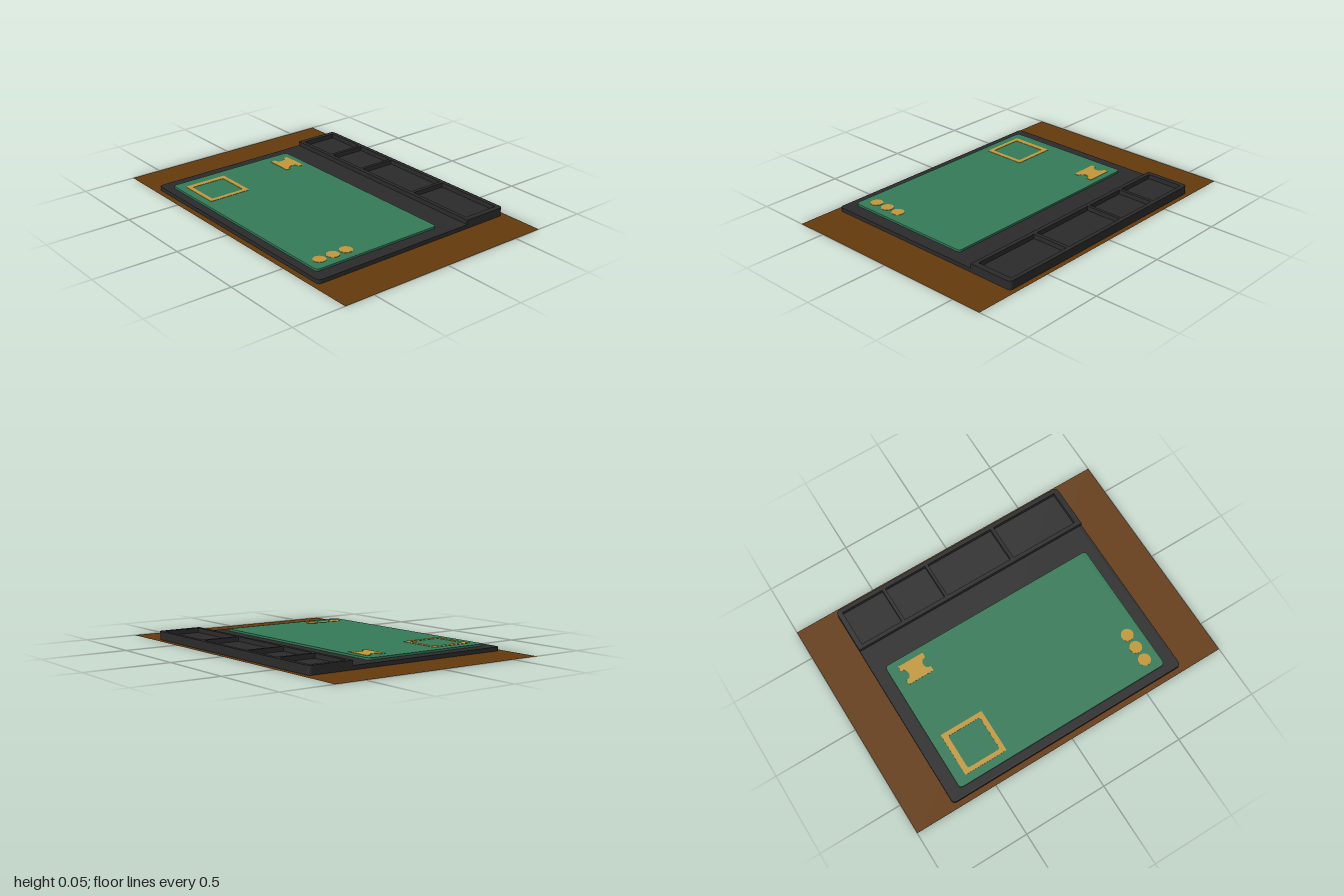
import * as THREE from 'three';

const BASE_TOP = 0.025, TRAY_TOP = 0.052, BOARD_TOP = 0.037;

// Rectangle outline in plan; f and b are the front and back corner radii
function outline(x0, x1, z0, z1, f = 0, b = f, Type = THREE.Shape) {
  const s = new Type();
  const y0 = -z1, y1 = -z0; // plan y is -z
  s.moveTo(x0 + f, y0);
  s.lineTo(x1 - f, y0);
  if (f) s.quadraticCurveTo(x1, y0, x1, y0 + f);
  s.lineTo(x1, y1 - b);
  if (b) s.quadraticCurveTo(x1, y1, x1 - b, y1);
  s.lineTo(x0 + b, y1);
  if (b) s.quadraticCurveTo(x0, y1, x0, y1 - b);
  s.lineTo(x0, y0 + f);
  if (f) s.quadraticCurveTo(x0, y0, x0 + f, y0);
  return s;
}

// Plan shape raised from y0 to y1
function slab(name, shape, y0, y1, material) {
  const geo = new THREE.ExtrudeGeometry(shape, { depth: y1 - y0, bevelEnabled: false, curveSegments: 10 });
  geo.rotateX(-Math.PI / 2);
  geo.translate(0, y0, 0);
  const mesh = new THREE.Mesh(geo, material);
  mesh.name = name;
  return mesh;
}

export function createModel() {
  const brown = new THREE.MeshStandardMaterial({ name: 'woodBrown', color: 0x653a0d, side: THREE.DoubleSide });
  const black = new THREE.MeshStandardMaterial({ name: 'matBlack', color: 0x2b2b2b });
  const green = new THREE.MeshStandardMaterial({ name: 'boardGreen', color: 0x357a58 });
  const gold = new THREE.MeshStandardMaterial({ name: 'gold', color: 0xc2983a });
  const model = new THREE.Group();
  model.name = 'workMat';

  // Table surface
  const table = new THREE.Mesh(new THREE.PlaneGeometry(2, 1.365).rotateX(-Math.PI / 2), brown);
  table.name = 'tableTop';
  model.add(table);

  // Mat base with the raised parts tray at the back
  model.add(slab('matBase', outline(-0.752, 0.752, -0.655, 0.65, 0.025), 0.002, BASE_TOP, black));
  const tray = outline(-0.752, 0.752, -0.655, -0.38, 0, 0.025);
  for (const [x0, x1] of [[-0.722, -0.46], [-0.44, -0.173], [-0.155, 0.273], [0.295, 0.718]]) {
    tray.holes.push(outline(x0, x1, -0.63, -0.405, 0, 0, THREE.Path));
  }
  model.add(slab('partsTray', tray, BASE_TOP, TRAY_TOP, black));

  // Green work board
  model.add(slab('workBoard', outline(-0.678, 0.675, -0.222, 0.6, 0.025), BASE_TOP, BOARD_TOP, green));

  // Gold markings on the board
  const mark = (name, shape) => model.add(slab(name, shape, BOARD_TOP, BOARD_TOP + 0.002, gold));
  const frame = outline(-0.615, -0.35, 0.288, 0.553, 0.006);
  frame.holes.push(outline(-0.583, -0.378, 0.315, 0.527, 0.012, 0.012, THREE.Path));
  mark('squareMark', frame);

  // Spool mark with a notch on each side
  const spool = new THREE.Shape();
  spool.moveTo(-0.615, 0.058);
  spool.lineTo(-0.455, 0.058);
  spool.lineTo(-0.455, 0.088);
  spool.lineTo(-0.475, 0.092);
  spool.quadraticCurveTo(-0.5, 0.118, -0.475, 0.147);
  spool.lineTo(-0.455, 0.151);
  spool.lineTo(-0.455, 0.182);
  spool.lineTo(-0.615, 0.182);
  spool.lineTo(-0.615, 0.151);
  spool.lineTo(-0.595, 0.147);
  spool.quadraticCurveTo(-0.57, 0.118, -0.595, 0.092);
  spool.lineTo(-0.615, 0.088);
  mark('spoolMark', spool);

  // Three dots
  for (const z of [0.343, 0.43, 0.518]) {
    mark('dotMark', new THREE.Shape().absarc(0.592, -z, 0.037, 0, Math.PI * 2));
  }
  return model;
}
